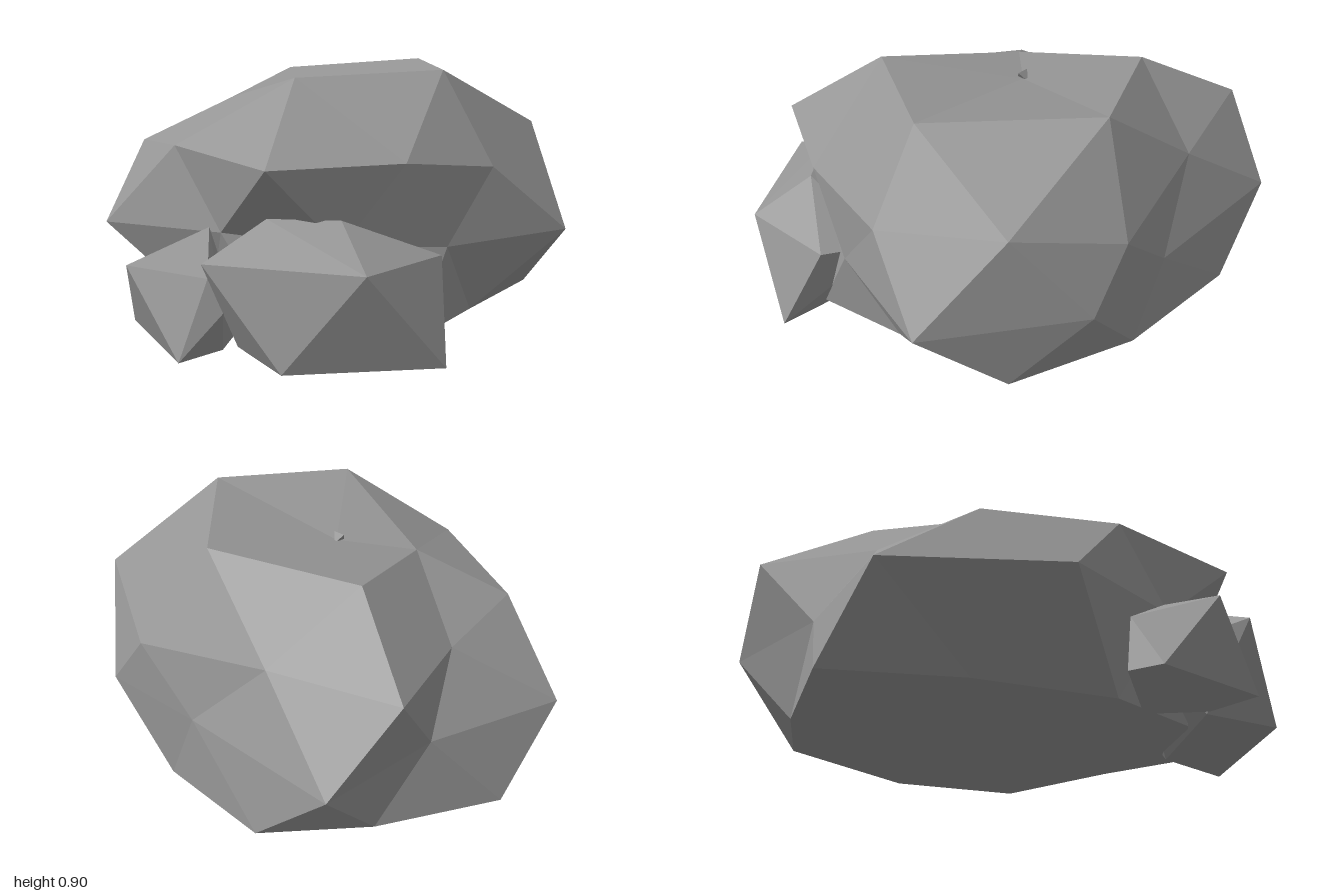
import * as THREE from 'three';
import { ConvexGeometry } from 'three/addons/geometries/ConvexGeometry.js';

// Cross-sections of the boulder, running front -> left (+x) -> back -> right
const base = [
  [-0.15, 0.03, 0.68], [0.28, 0.045, 0.74], [0.51, 0.06, 0.44], [0.78, 0.055, 0.05], [0.55, 0.03, -0.42],
  [0.22, 0.06, -0.81], [-0.19, 0.04, -0.75], [-0.65, 0.04, -0.6], [-0.55, 0.05, -0.1], [-0.42, 0.03, 0.4],
];
const waist = [
  [0.04, 0.36, 0.74], [0.4, 0.335, 0.63], [0.86, 0.335, 0.37], [0.77, 0.335, -0.24], [0.45, 0.335, -0.53],
  [-0.02, 0.335, -1], [-0.38, 0.335, -0.66], [-0.86, 0.335, -0.4], [-0.81, 0.34, 0.245], [-0.36, 0.38, 0.6],
];
const shoulder = [
  [-0.2, 0.635, 0.865], [0.25, 0.635, 0.73], [0.57, 0.585, 0.5], [0.79, 0.685, 0.05], [0.64, 0.55, -0.36],
  [0.18, 0.61, -0.645], [-0.26, 0.63, -0.9], [-0.46, 0.58, -0.44], [-0.71, 0.6, -0.07], [-0.53, 0.65, 0.42],
];
const crown = [
  [-0.11, 0.89, 0.49], [0.41, 0.905, 0.35], [0.39, 0.9, -0.31], [-0.14, 0.85, -0.5], [-0.36, 0.77, -0.04],
];

// Joins the staggered cross-sections with triangles and closes both ends
function boulderGeometry() {
  const out = [];
  const tri = (a, b, c) => out.push(...a, ...b, ...c);
  const at = (ring, i) => ring[(i + ring.length) % ring.length];
  const peak = [-0.06, 0.81, -0.04], floor = [0, 0.03, 0];
  for (let i = 0; i < 10; i++) {
    tri(floor, at(base, i + 1), base[i]);
    tri(base[i], waist[i], at(waist, i - 1));
    tri(base[i], at(base, i + 1), waist[i]);
    tri(waist[i], at(shoulder, i + 1), shoulder[i]);
    tri(waist[i], at(waist, i + 1), at(shoulder, i + 1));
  }
  for (let k = 0; k < 5; k++) {
    const t = crown[k], next = at(crown, k + 1), right = at(shoulder, 2 * k + 1);
    tri(at(shoulder, 2 * k - 1), shoulder[2 * k], t);
    tri(shoulder[2 * k], right, t);
    tri(right, next, t);
    tri(t, next, peak);
  }
  const g = new THREE.BufferGeometry();
  g.setAttribute('position', new THREE.Float32BufferAttribute(out, 3));
  g.computeVertexNormals();
  return g;
}

const chunk = (points) => new ConvexGeometry(points.map((p) => new THREE.Vector3(...p)));

export function createModel() {
  const group = new THREE.Group();
  group.name = 'rockPile';
  const stone = new THREE.MeshStandardMaterial({ color: 0x969696 });
  stone.name = 'grey stone';
  stone.flatShading = true;
  const add = (name, geometry) => {
    const mesh = new THREE.Mesh(geometry, stone);
    mesh.name = name;
    group.add(mesh);
    return mesh;
  };

  add('boulder', boulderGeometry());

  // Two smaller stones leaning on the front
  add('frontStone', chunk([
    [-0.4, 0.345, 0.88], [0.11, 0.335, 1], [0.37, 0.33, 0.72], [0.04, 0.46, 0.78], [-0.2, 0.46, 0.75],
    [-0.15, 0.025, 1], [0.37, 0.005, 0.89], [0.2, 0.02, 0.65], [-0.3, 0.02, 0.72], [-0.28, 0.25, 0.5], [0.28, 0.3, 0.5],
  ]));
  add('sideStone', chunk([
    [-0.66, 0.3, 0.72], [-0.48, 0.015, 0.86], [-0.67, 0.05, 0.52], [-0.4, 0.395, 0.58],
    [-0.39, 0.27, 0.78], [-0.34, 0.16, 0.8], [-0.35, 0.01, 0.72], [-0.61, 0.05, 0.41], [-0.6, 0.25, 0.43], [-0.3, 0.02, 0.5],
  ]));

  // Tiny chip on the crown
  const chip = add('chip', new THREE.TetrahedronGeometry(0.03));
  chip.position.set(-0.07, 0.82, -0.04);
  return group;
}
